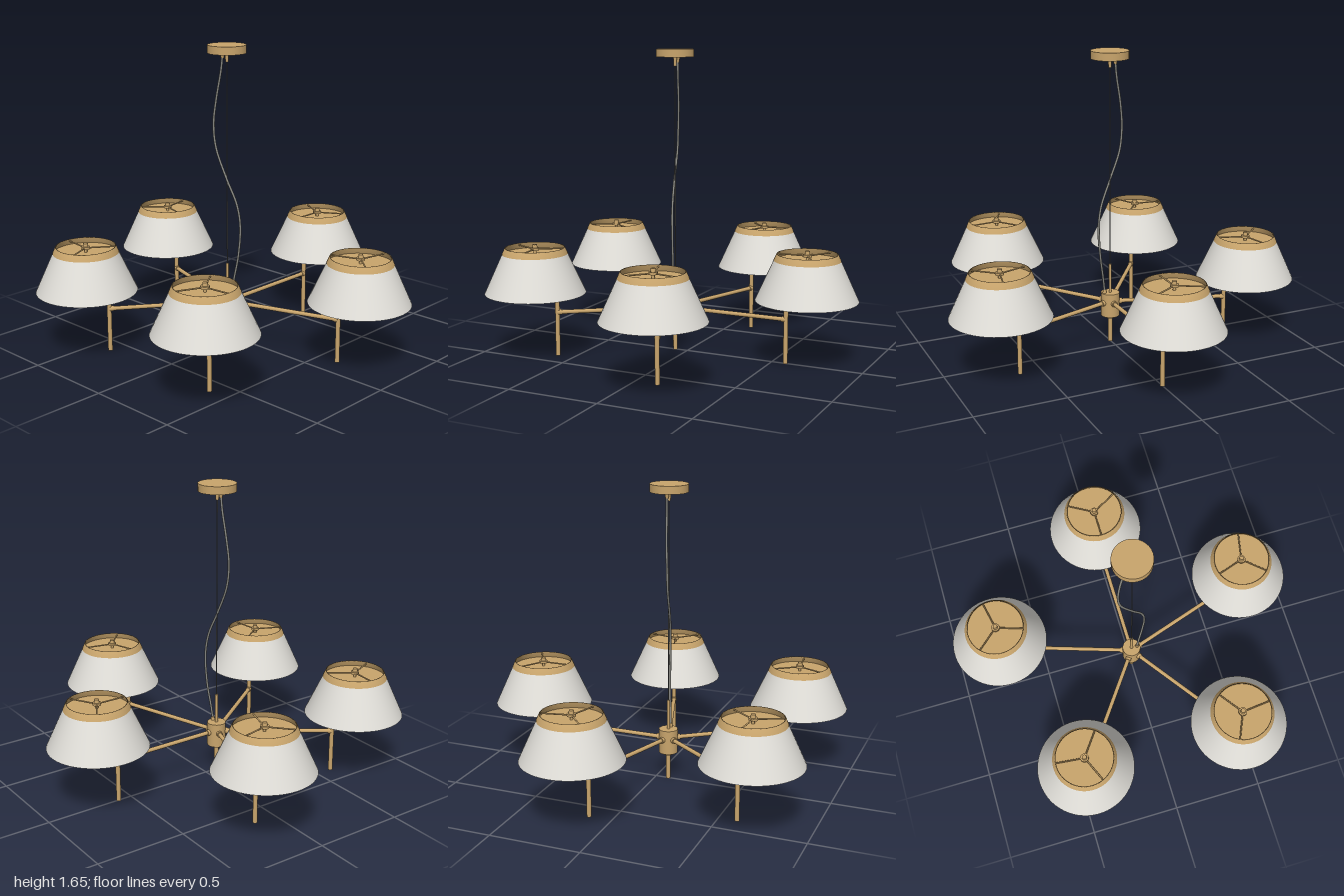
import * as THREE from 'three';

const material = (name, color, side = THREE.FrontSide) => {
  const m = new THREE.MeshStandardMaterial({ color, side });
  m.name = name;
  return m;
};
const brass = material('brass', 0xc9a56c);
const brassThin = material('brass sheet', 0xc9a56c, THREE.DoubleSide);
const fabric = material('shade fabric', 0xe0ded8, THREE.DoubleSide);
const glass = material('bulb glass', 0xf0eeea);
const cordGrey = material('cord grey', 0x85857f);
const wireGrey = material('wire grey', 0x666666);

function add(parent, name, geometry, mat) {
  const mesh = new THREE.Mesh(geometry, mat);
  mesh.name = name;
  parent.add(mesh);
  return mesh;
}

// Upright cylinder from y0 to y1
function post(parent, name, r0, r1, y0, y1, x = 0, mat = brass, z = 0) {
  const mesh = add(parent, name, new THREE.CylinderGeometry(r1, r0, y1 - y0, 32), mat);
  mesh.position.set(x, (y0 + y1) / 2, z);
  return mesh;
}

// Horizontal cylinder along x
function bar(parent, name, r, x0, x1, y) {
  const mesh = add(parent, name, new THREE.CylinderGeometry(r, r, x1 - x0, 24), brass);
  mesh.rotation.z = -Math.PI / 2;
  mesh.position.set((x0 + x1) / 2, y, 0);
  return mesh;
}

const lathe = (points, segments = 64) =>
  new THREE.LatheGeometry(points.map(([r, y]) => new THREE.Vector2(r, y)), segments);

const SHADE_X = 0.765, ROD_X = 0.65, ARM_Y = 0.24;

// Shade with brass band, recessed plate, three spokes and a finial
function createShade() {
  const shade = new THREE.Group();
  shade.name = 'lampShade';
  add(shade, 'shadeFabric', lathe([[0.272, 0.355], [0.174, 0.57]]), fabric);
  add(shade, 'shadeBand', lathe([[0.176, 0.568], [0.161, 0.602], [0.156, 0.602], [0.17, 0.568]]), brassThin);
  post(shade, 'shadePlate', 0.17, 0.17, 0.563, 0.569);
  for (let i = 0; i < 3; i++) {
    const pivot = new THREE.Group();
    pivot.name = 'spoke';
    pivot.rotation.y = Math.PI + i * Math.PI * 2 / 3;
    bar(pivot, 'spokeBar', 0.004, 0.015, 0.158, 0.592);
    shade.add(pivot);
  }
  post(shade, 'finialWasher', 0.023, 0.023, 0.587, 0.6);
  post(shade, 'finial', 0.014, 0.012, 0.6, 0.618);
  post(shade, 'shadeStem', 0.008, 0.008, 0.43, 0.59);
  return shade;
}

// One arm, pointing along +x
function createArm() {
  const arm = new THREE.Group();
  arm.name = 'lampArm';
  bar(arm, 'armBar', 0.0115, 0.03, ROD_X, ARM_Y);
  bar(arm, 'hubCollar', 0.017, 0.045, 0.066, ARM_Y);
  bar(arm, 'rodCollar', 0.015, ROD_X - 0.022, ROD_X, ARM_Y);
  post(arm, 'uprightRod', 0.0125, 0.0125, 0, 0.445, ROD_X);
  bar(arm, 'socket', 0.03, ROD_X + 0.018, ROD_X + 0.11, 0.425);
  bar(arm, 'socketNeck', 0.015, ROD_X, ROD_X + 0.02, 0.425);
  const bulb = add(arm, 'bulb', lathe([
    [0.018, 0], [0.024, 0.015], [0.032, 0.045], [0.035, 0.075],
    [0.031, 0.11], [0.021, 0.145], [0.01, 0.165], [0, 0.17],
  ], 32), glass);
  bulb.rotation.z = -Math.PI / 2;
  bulb.position.set(ROD_X + 0.11, 0.425, 0);
  const shade = createShade();
  shade.position.x = SHADE_X;
  arm.add(shade);
  return arm;
}

export function createModel() {
  const model = new THREE.Group();
  model.name = 'chandelier';
  const lamp = new THREE.Group();
  lamp.name = 'chandelierBody';
  lamp.position.z = 0.073;
  model.add(lamp);

  // Hub with its lower rod and upper stem
  post(lamp, 'hub', 0.052, 0.052, 0.158, 0.294);
  post(lamp, 'hubFoot', 0.025, 0.025, 0.143, 0.16);
  post(lamp, 'lowerRod', 0.0125, 0.0125, 0, 0.145);
  post(lamp, 'upperStem', 0.008, 0.008, 0.294, 0.46);
  post(lamp, 'hubCordGrip', 0.012, 0.009, 0.29, 0.314, 0.034);

  // Five arms around the hub
  for (let i = 0; i < 5; i++) {
    const arm = createArm();
    arm.rotation.y = Math.PI / 2 + i * Math.PI * 2 / 5;
    lamp.add(arm);
  }

  // Ceiling plate with wire and cord grips
  post(lamp, 'ceilingPlate', 0.103, 0.103, 1.612, 1.655);
  post(lamp, 'wireGrip', 0.008, 0.01, 1.565, 1.613);
  post(lamp, 'ceilingCordGrip', 0.008, 0.014, 1.582, 1.613, -0.032);
  post(lamp, 'wire', 0.003, 0.003, 0.455, 1.57, 0, wireGrey);

  // Slack power cord
  const path = new THREE.CatmullRomCurve3([
    [-0.032, 1.6, 0], [-0.04, 1.52, 0.003], [-0.068, 1.36, 0.012], [-0.08, 1.23, 0.02],
    [-0.065, 1.1, 0.018], [0, 0.94, 0.006], [0.06, 0.8, -0.012], [0.078, 0.68, -0.02],
    [0.066, 0.51, -0.017], [0.045, 0.38, -0.006], [0.034, 0.3, 0],
  ].map((p) => new THREE.Vector3(...p)));
  add(lamp, 'powerCord', new THREE.TubeGeometry(path, 100, 0.0065, 10), cordGrey);

  return model;
}
